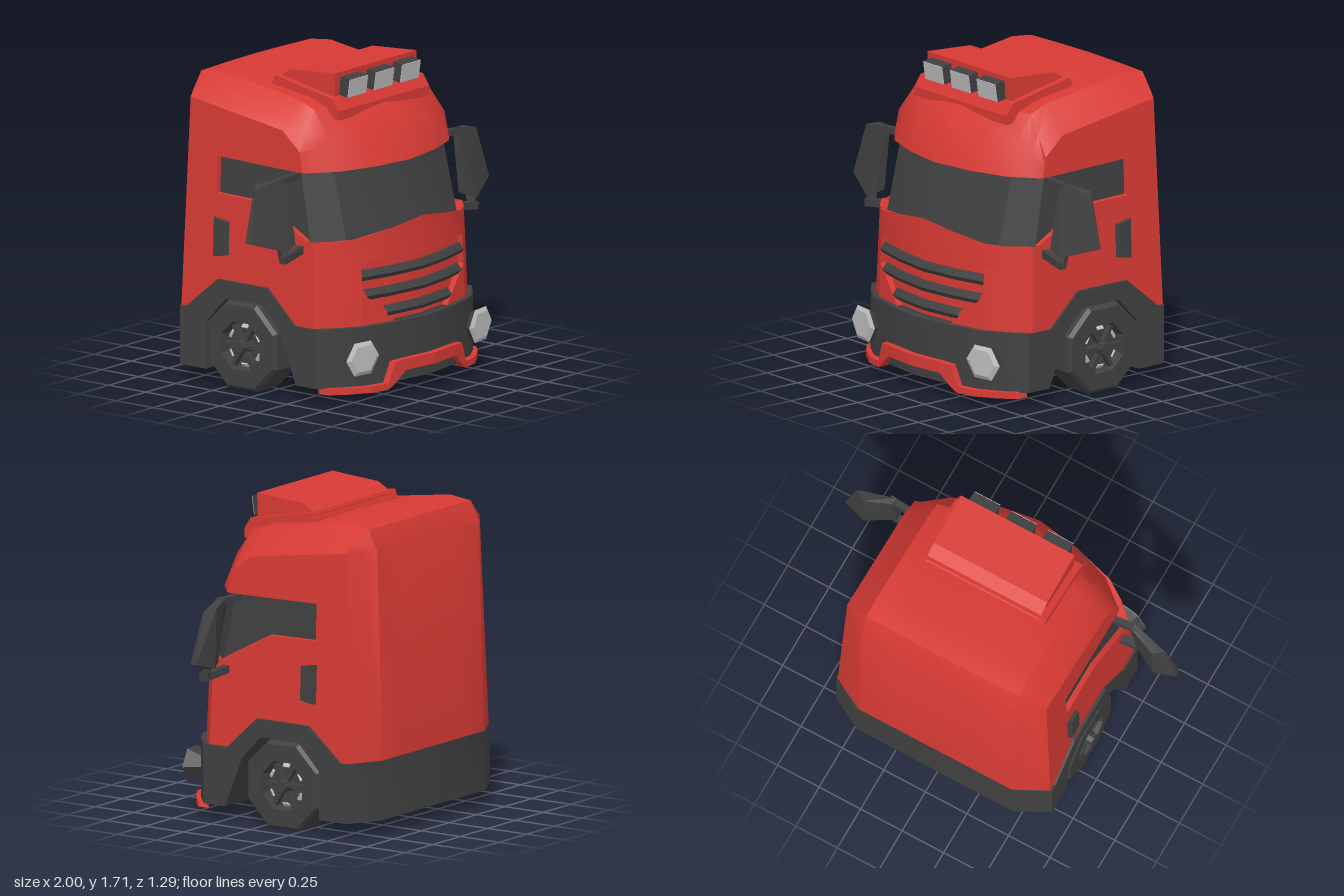
import * as THREE from 'three';
import { toCreasedNormals } from 'three/addons/utils/BufferGeometryUtils.js';
import { ConvexGeometry } from 'three/addons/geometries/ConvexGeometry.js';

const paint = (name, color) => {
  const m = new THREE.MeshStandardMaterial({ color, side: THREE.DoubleSide });
  m.name = name;
  return m;
};

export function createModel() {
  const red = paint('red paint', 0xd83a34);
  const dark = paint('dark plastic', 0x404040);
  const silver = paint('silver lamp', 0xc0c0c0);
  const root = new THREE.Group();

  const add = (name, geo, mat, parent = root) => {
    const mesh = new THREE.Mesh(geo, mat);
    mesh.name = name;
    parent.add(mesh);
    return mesh;
  };
  const flat = (geo) => toCreasedNormals(geo, 0.05);

  // Skin over rows of points
  const skin = (rows, crease = 0.5) => {
    const n = rows[0].length, index = [];
    for (let r = 0; r < rows.length - 1; r++) for (let c = 0; c < n - 1; c++) {
      const a = r * n + c, d = a + n;
      index.push(a, a + 1, d, a + 1, d + 1, d);
    }
    const g = new THREE.BufferGeometry();
    g.setAttribute('position', new THREE.Float32BufferAttribute(rows.flat(2), 3));
    g.setIndex(index);
    return toCreasedNormals(g, crease);
  };
  // Copy reflected to the other side, corners reordered
  const mirror = (geo) => {
    const g = geo.index ? geo.toNonIndexed() : geo.clone();
    const p = g.attributes.position;
    for (let i = 0; i < p.count; i += 3) {
      const t = [0, 1, 2].map((k) => new THREE.Vector3().fromBufferAttribute(p, i + k));
      [t[0], t[2], t[1]].forEach((v, k) => p.setXYZ(i + k, -v.x, v.y, v.z));
    }
    g.computeVertexNormals();
    return toCreasedNormals(g, 0.5);
  };
  const addPair = (name, geo, mat) => {
    add(name + 'Left', geo, mat);
    add(name + 'Right', mirror(geo), mat);
  };
  // Half row (centre to left) completed to a full row
  const full = (half) => [...half.slice(1).reverse().map(([x, y, z]) => [-x, y, z]), ...half];

  // Side wall taper, and flat side panels given as (z, y) outlines
  const wallX = (y) => 0.64 - 0.036 * (y - 0.4);
  const sidePanel = (pts, xf) => {
    const g = new THREE.ShapeGeometry(new THREE.Shape(pts.map(([z, y]) => new THREE.Vector2(-z, y))));
    const p = g.attributes.position;
    for (let i = 0; i < p.count; i++) {
      const z = -p.getX(i), y = p.getY(i);
      p.setXYZ(i, xf(y), y, z);
    }
    return flat(g);
  };
  const sideRim = (pts, xa, xb) => skin([pts.map(([z, y]) => [xa(y), y, z]), pts.map(([z, y]) => [xb(y), y, z])], 0.1);

  // Bowed nose surface shared by hood, grille and bumper
  const noseX = [0, 0.22, 0.43, 0.54, 0.64], noseZ = [0.575, 0.55, 0.5, 0.43, 0.34];
  const noseAt = (x) => {
    let i = 0;
    while (i < 3 && x > noseX[i + 1]) i++;
    return THREE.MathUtils.lerp(noseZ[i], noseZ[i + 1], (x - noseX[i]) / (noseX[i + 1] - noseX[i]));
  };
  const nose = (x, y, off = 0) => [x * wallX(y) / 0.64, y, noseAt(x) - 0.03 * (y - 0.4) + off];

  // Hood, cheeks beside the grille, and the recessed grille back
  const hoodTop = [0.93, 0.9, 0.868, 0.86, 0.86];
  const hoodEdge = full(noseX.map((x, i) => nose(x, hoodTop[i])));
  add('hood', skin([full(noseX.map((x) => nose(x, 0.74))), hoodEdge]), red);
  addPair('cheek', skin([0.4, 0.74].map((y) => noseX.slice(2).map((x) => nose(x, y)))), red);
  addPair('grilleCorner', skin([[nose(0.22, 0.4), nose(0.43, 0.4)], [nose(0.22, 0.4), nose(0.43, 0.58)]]), red);
  const grilleX = noseX.slice(0, 3);
  add('grilleBack', skin([0.4, 0.74].map((y) => full(grilleX.map((x) => nose(x, y, -0.035))))), red);
  add('grilleTopRim', skin([-0.035, 0].map((o) => full(grilleX.map((x) => nose(x, 0.74, o))))), red);
  const rim = [[0.43, 0.74], [0.43, 0.58], [0.22, 0.4]];
  addPair('grilleSideRim', skin([0, -0.035].map((o) => rim.map(([x, y]) => nose(x, y, o))), 0.1), red);
  for (const [y, w] of [[0.66, 0.43], [0.555, 0.4], [0.452, 0.27]]) {
    const profile = [[-0.03, -0.035], [-0.022, -0.01], [0, 0.004], [0.03, -0.02], [0.03, -0.035]];
    add('grilleSlat', skin(profile.map(([dy, o]) => full([0, 0.22, w].map((x) => nose(x, y + dy, o)))), 0.2), dark);
  }

  // Upper shell rows: centre, crease and side edge, each as y and z
  const shellRow = ([yc, zc, yk, zk, ys, zs], inset = 0) => {
    const xs = wallX(ys) - inset, xk = 0.46;
    return full([[0, yc, zc], [0.25, yc * 0.6 + yk * 0.4, zc * 0.65 + zk * 0.35], [xk, yk, zk],
      [(xk + xs) / 2, (yk + ys) / 2, (zk + zs) / 2], [xs, ys, zs]]);
  };
  const glassLow = shellRow([0.85, 0.51, 0.85, 0.42, 0.85, 0.28], 0.03);
  const glassHigh = shellRow([1.22, 0.4, 1.22, 0.33, 1.22, 0.21], 0.03);
  const shell = [
    [1.22, 0.48, 1.22, 0.37, 1.22, 0.245], [1.4, 0.41, 1.4, 0.29, 1.28, 0.23],
    [1.53, 0.27, 1.53, 0.2, 1.33, 0.22], [1.57, 0.13, 1.57, 0.1, 1.43, 0.1],
    [1.65, -0.43, 1.645, -0.43, 1.507, -0.43], [1.635, -0.57, 1.63, -0.56, 1.52, -0.52],
    [1.52, -0.62, 1.52, -0.615, 1.515, -0.52], [0.4, -0.645, 0.4, -0.645, 0.4, -0.55],
  ].map((r) => shellRow(r));
  add('roofAndBack', skin(shell), red);
  add('windshield', skin([glassLow, glassHigh]), dark);
  add('hoodLedge', skin([hoodEdge, glassLow]), red);
  add('visorUnderside', skin([glassHigh, shell[0]]), red);

  // Doors with recessed side windows
  const arch = [[0.22, 0.4], [0.03, 0.575], [-0.3, 0.575], [-0.51, 0.4]];
  const sill = [[0.28, 0.86], [0.17, 0.92], [-0.03, 1.025], [-0.33, 1.03], [-0.33, 1.23]];
  addPair('sideWall', sidePanel([[0.34, 0.4], [0.326, 0.86], ...sill, [0.245, 1.22], [0.23, 1.28], [0.22, 1.33],
    [0.1, 1.43], [-0.43, 1.507], [-0.52, 1.52], [-0.55, 0.4], ...arch.slice().reverse()], wallX), red);
  addPair('sideWindow', sidePanel([...sill, [0.21, 1.22]], (y) => wallX(y) - 0.03), dark);
  addPair('windowRim', sideRim([...sill, [0.21, 1.22]], wallX, (y) => wallX(y) - 0.03), red);
  addPair('sideVent', skin([wallX, (y) => wallX(y) + 0.022].map((f, i) =>
    [[-0.24, 0.71], [-0.34, 0.695], [-0.34, 0.905], [-0.24, 0.89], [-0.24, 0.71]]
      .map(([z, y]) => [f(y), y, z + i * (z < -0.3 ? 0.012 : -0.012)])), 0.1), dark);
  addPair('ventFace', sidePanel([[-0.252, 0.71], [-0.328, 0.695], [-0.328, 0.905], [-0.252, 0.89]],
    (y) => wallX(y) + 0.022), dark);

  // Bumper, wheel arch trim, rear skirt and floor
  const W = 0.65, trimX = () => W;
  const bumper = (y) => full(noseX.map((x, i) => [x * W / 0.64, y, noseZ[i] + 0.03]));
  add('frontBumper', skin([bumper(0.08), bumper(0.4), full(noseX.map((x) => nose(x, 0.4)))]), dark);
  const well = [[-0.375, 0.08], [-0.375, 0.34], [-0.24, 0.48], [0, 0.48], [0.12, 0.36], [0.23, 0.08]];
  addPair('archTrim', sidePanel([[0.37, 0.08], [0.37, 0.4], ...arch, [-0.55, 0.4], [-0.55, 0.08], ...well], trimX), dark);
  addPair('archLedge', sideRim([[0.37, 0.4], ...arch, [-0.55, 0.4]], trimX, wallX), dark);
  add('rearSkirt', skin([0.4, 0.08].map((y) => full([[0, y, -0.645], [0.47, y, -0.645], [W, y, -0.55]]))), dark);
  const floor = [[-0.645, 0.08, 0.47], [-0.55, 0.08, W], ...well.map(([z, y]) => [z, y, W]),
    [0.37, 0.08, W], [0.46, 0.08, 0.55], [0.53, 0.08, 0.437], [0.58, 0.08, 0.223], [0.605, 0.08, 0.01]];
  add('floor', skin(floor.map(([z, y, w]) => [[-w, y, z], [w, y, z]]), 0.1), dark);

  // Front lip, stepped up in the middle
  const lip = [[0, 0.14, 0.2], [0.21, 0.14, 0.2], [0.28, 0.08, 0.195], [0.325, 0.05, 0.085], [0.43, 0.05, 0.085],
    [0.54, 0.05, 0.085], [0.62, 0.05, 0.085]];
  const lipRow = (k, off) => full(lip.map((p) => [p[0], p[k], noseAt(p[0]) + off]));
  add('frontLip', skin([lipRow(1, 0), lipRow(1, 0.068), lipRow(2, 0.068), lipRow(2, 0), lipRow(1, 0)], 0.2), red);

  // Headlights: tapered six-sided housing with a shallow lens
  for (const s of [1, -1]) {
    const lamp = new THREE.Group();
    lamp.name = 'headlight';
    add('headlightHousing', flat(new THREE.CylinderGeometry(0.118, 0.06, 0.09, 6).rotateY(Math.PI / 6).rotateX(Math.PI / 2)), dark, lamp);
    add('headlightLens', flat(new THREE.CylinderGeometry(0.09, 0.118, 0.012, 6).rotateY(Math.PI / 6).rotateX(Math.PI / 2)), silver, lamp).position.z = 0.051;
    lamp.scale.y = 0.87;
    lamp.position.set(s * 0.487, 0.245, 0.51);
    lamp.rotation.y = s * 0.15;
    root.add(lamp);
  }

  // Wheels: eight-sided tyre, recessed rim, hub and spokes
  for (const s of [1, -1]) {
    const wheel = new THREE.Group();
    wheel.name = 'wheel';
    const tyre = [[0.01, -0.105], [0.225, -0.105], [0.254, -0.08], [0.254, 0.085], [0.235, 0.105], [0.14, 0.105],
      [0.128, 0.05], [0.01, 0.04]].map(([r, h]) => new THREE.Vector2(r, h));
    add('tyre', flat(new THREE.LatheGeometry(tyre, 8, Math.PI / 8)), dark, wheel);
    add('hub', flat(new THREE.CylinderGeometry(0.035, 0.042, 0.08, 8).translate(0, 0.085, 0)), dark, wheel);
    for (let i = 0; i < 6; i++) {
      const a = i * Math.PI / 3;
      add('spoke', new THREE.BoxGeometry(0.1, 0.03, 0.022).translate(0.075, 0.075, 0).rotateY(a + Math.PI / 6), dark, wheel);
      add('rimGlint', new THREE.BoxGeometry(0.022, 0.008, 0.04).rotateZ(-0.7).translate(0.105, 0.065, 0).rotateY(a), silver, wheel);
    }
    wheel.rotation.z = -s * Math.PI / 2;
    wheel.position.set(s * 0.55, 0.235, -0.14);
    root.add(wheel);
  }
  add('axle', new THREE.CylinderGeometry(0.05, 0.05, 0.9, 8).rotateZ(Math.PI / 2).translate(0, 0.235, -0.14), dark);

  // Mirrors with upper and lower arms
  const bar = (a, b, t) => {
    const A = new THREE.Vector3(...a), B = new THREE.Vector3(...b);
    const g = new THREE.BoxGeometry(t, t, A.distanceTo(B));
    g.applyMatrix4(new THREE.Matrix4().lookAt(B, A, new THREE.Vector3(0.1, 1, 0)));
    return g.translate(...A.add(B).multiplyScalar(0.5).toArray());
  };
  const mirrorPts = [[0.72, 1.22, 0.22], [0.72, 0.86, 0.285], [0.8, 0.835, 0.285], [0.995, 0.905, 0.21], [0.93, 1.175, 0.175],
    [0.72, 1.21, 0.185], [0.72, 0.87, 0.225], [0.87, 1.19, 0.13], [0.87, 0.87, 0.14], [1, 0.905, 0.17]];
  addPair('mirrorHousing', flat(new ConvexGeometry(mirrorPts.map((p) => new THREE.Vector3(...p)))), dark);
  addPair('mirrorUpperArm', bar([0.57, 1.2, 0.19], [0.75, 1.195, 0.21], 0.035), dark);
  addPair('mirrorLowerArm', bar([0.61, 0.815, 0.24], [0.81, 0.79, 0.27], 0.04), dark);
  addPair('mirrorPost', bar([0.79, 0.785, 0.265], [0.79, 0.88, 0.24], 0.04), dark);

  // Roof box on a wider base, with three lamps
  const across = (pts, w) => flat(new THREE.ExtrudeGeometry(
    new THREE.Shape(pts.map(([z, y]) => new THREE.Vector2(-z, y))), { depth: 2 * w, bevelEnabled: false })
    .rotateY(Math.PI / 2).translate(-w, 0, 0));
  add('roofBoxBase', across([[0.3, 1.47], [0.3, 1.52], [0.26, 1.58], [-0.13, 1.655], [-0.15, 1.61], [0, 1.5]], 0.38), red);
  add('roofBox', across([[0.24, 1.56], [0.245, 1.71], [-0.05, 1.69], [-0.14, 1.64], [-0.1, 1.55]], 0.342), red);
  for (const x of [-0.22, 0, 0.22]) {
    const lamp = new THREE.Group();
    lamp.name = 'roofLamp';
    add('roofLampHousing', new THREE.BoxGeometry(0.155, 0.1, 0.06), dark, lamp);
    add('roofLampGlass', new THREE.BoxGeometry(0.153, 0.098, 0.006), silver, lamp).position.z = 0.031;
    lamp.position.set(x, 1.632, 0.27);
    lamp.rotation.x = 0.15;
    root.add(lamp);
  }
  return root;
}
